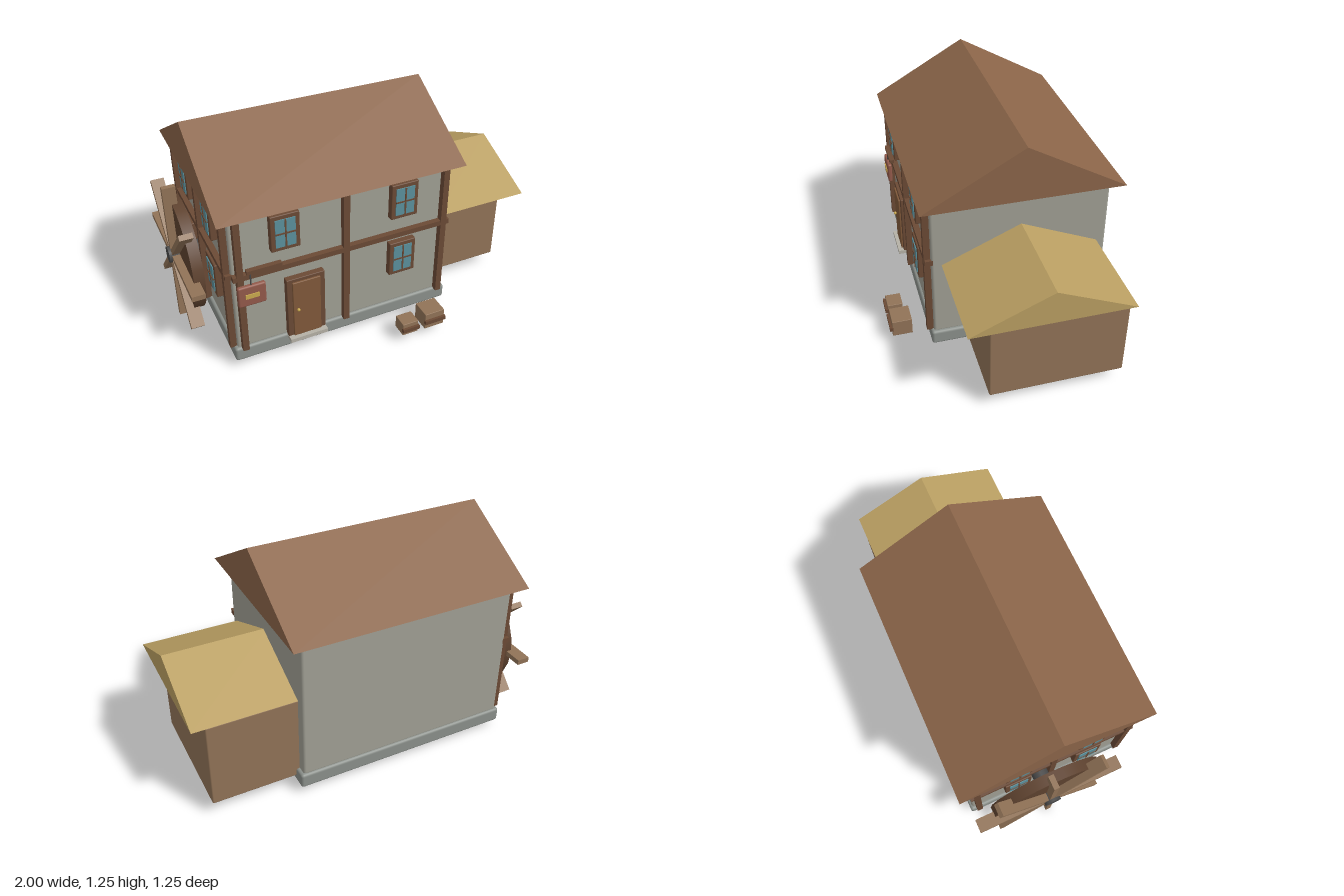
import * as THREE from 'three';
import { RoundedBoxGeometry } from 'three/addons/geometries/RoundedBoxGeometry.js';

const mat = (color) => new THREE.MeshStandardMaterial({ color });
const M = {
  stone: mat(0x8b908b), plaster: mat(0xa09f94), beam: mat(0x6b4a35), roof: mat(0x8b6549),
  plank: mat(0x917357), straw: mat(0xba9f62), glass: mat(0x5b909c), door: mat(0x80593a),
  step: mat(0xb5b1a6), brass: mat(0xc9a84e), sign: mat(0x92594a), iron: mat(0x4a4a4a),
  wheel: mat(0x5f4330),
};

function add(parent, name, geometry, material, x = 0, y = 0, z = 0) {
  const mesh = new THREE.Mesh(geometry, material);
  mesh.name = name;
  mesh.position.set(x, y, z);
  parent.add(mesh);
  return mesh;
}

// Box given by its extents; r > 0 rounds the edges
function box(parent, name, material, [x0, x1], [y0, y1], [z0, z1], r = 0) {
  const s = [x1 - x0, y1 - y0, z1 - z0];
  const g = r ? new RoundedBoxGeometry(...s, 3, r) : new THREE.BoxGeometry(...s);
  return add(parent, name, g, material, (x0 + x1) / 2, (y0 + y1) / 2, (z0 + z1) / 2);
}

// Solid gable roof with its ridge along x
function gableRoof(parent, name, material, [x0, x1], [y0, y1], [z0, z1]) {
  const shape = new THREE.Shape();
  shape.moveTo(-z1, y0);
  shape.lineTo(-z0, y0);
  shape.lineTo(-(z0 + z1) / 2, y1);
  shape.closePath();
  const g = new THREE.ExtrudeGeometry(shape, { depth: x1 - x0, bevelEnabled: false });
  g.rotateY(Math.PI / 2);
  return add(parent, name, g, material, x0, 0, 0);
}

// Framed window facing +z, its back at z = 0
function makeWindow() {
  const w = new THREE.Group();
  w.name = 'window';
  box(w, 'windowFrame', M.beam, [-0.078, 0.078], [-0.105, 0.105], [-0.01, 0.035], 0.005);
  box(w, 'windowGlass', M.glass, [-0.054, 0.054], [-0.081, 0.081], [0, 0.04]);
  box(w, 'windowMullion', M.beam, [-0.004, 0.004], [-0.081, 0.081], [0.03, 0.044]);
  box(w, 'windowCrossbar', M.beam, [-0.054, 0.054], [-0.004, 0.004], [0.03, 0.044]);
  return w;
}

function makeWheel() {
  const wheel = new THREE.Group();
  wheel.name = 'waterWheel';
  const disc = new THREE.CylinderGeometry(0.325, 0.325, 0.06, 24).rotateZ(Math.PI / 2);
  add(wheel, 'wheelDisc', disc, M.wheel, -0.912);
  const axle = new THREE.CylinderGeometry(0.047, 0.047, 0.22, 16).rotateZ(Math.PI / 2);
  add(wheel, 'axle', axle, M.iron, -0.89);
  // Four planks through the hub give eight paddles
  for (let i = 0; i < 4; i++) {
    const p = add(wheel, 'paddle', new THREE.BoxGeometry(0.074, 0.86, 0.03), M.plank, -0.948);
    p.rotation.x = (i * Math.PI) / 4;
  }
  wheel.position.set(0, 0.43, -0.155);
  return wheel;
}

function makeCrate([x0, x1], [y0, y1], [z0, z1]) {
  const crate = new THREE.Group();
  crate.name = 'crate';
  const mid = (y0 + y1) / 2;
  box(crate, 'crateBox', M.plank, [x0, x1], [y0, y1], [z0, z1], 0.003);
  box(crate, 'crateBand', M.beam, [x0 - 0.003, x1 + 0.003], [mid - 0.012, mid + 0.012], [z1 - 0.005, z1 + 0.014]);
  return crate;
}

export function createModel() {
  const model = new THREE.Group();
  model.name = 'waterMill';

  // House body
  box(model, 'foundation', M.stone, [-0.82, 0.455], [0.045, 0.13], [-0.58, 0.41], 0.015);
  box(model, 'walls', M.plaster, [-0.802, 0.437], [0.12, 0.95], [-0.567, 0.395], 0.015);
  gableRoof(model, 'mainRoof', M.roof, [-0.865, 0.502], [0.95, 1.255], [-0.628, 0.454]);

  // Annex
  box(model, 'annex', M.plank, [0.42, 0.925], [0.083, 0.578], [-0.512, 0.215], 0.008);
  gableRoof(model, 'annexRoof', M.straw, [0.42, 0.995], [0.578, 0.765], [-0.515, 0.34]);

  // Timber framing on the front and the wheel side
  for (const x of [-0.765, -0.182, 0.402])
    box(model, 'frontPost', M.beam, [x - 0.017, x + 0.017], [0.125, 0.95], [0.385, 0.43]);
  box(model, 'frontBeam', M.beam, [-0.802, 0.437], [0.585, 0.615], [0.385, 0.427]);
  for (const z of [-0.53, -0.085, 0.36])
    box(model, 'sidePost', M.beam, [-0.836, -0.79], [0.125, 0.95], [z - 0.017, z + 0.017]);
  box(model, 'sideBeam', M.beam, [-0.833, -0.79], [0.585, 0.615], [-0.567, 0.395]);

  // Windows
  for (const [x, y] of [[-0.517, 0.815], [0.152, 0.815], [0.152, 0.447]]) {
    const w = makeWindow();
    w.position.set(x, y, 0.395);
    model.add(w);
  }
  for (const z of [-0.29, 0.13])
    for (const y of [0.815, 0.447]) {
      const w = makeWindow();
      w.position.set(-0.802, y, z);
      w.rotation.y = -Math.PI / 2;
      model.add(w);
    }

  // Door
  box(model, 'doorFrame', M.beam, [-0.525, -0.31], [0.128, 0.507], [0.385, 0.43], 0.004);
  box(model, 'door', M.door, [-0.496, -0.339], [0.13, 0.487], [0.39, 0.44], 0.004);
  add(model, 'doorKnob', new THREE.SphereGeometry(0.009, 12, 8), M.brass, -0.47, 0.31, 0.447);
  box(model, 'doorStep', M.step, [-0.525, -0.31], [0.107, 0.13], [0.38, 0.462]);

  // Hanging sign
  box(model, 'signBracket', M.beam, [-0.735, -0.547], [0.63, 0.65], [0.42, 0.447]);
  add(model, 'signRod', new THREE.CylinderGeometry(0.004, 0.004, 0.08, 8), M.iron, -0.715, 0.595, 0.437);
  box(model, 'signBoard', M.sign, [-0.79, -0.64], [0.435, 0.56], [0.424, 0.45], 0.01);
  box(model, 'signPlate', M.brass, [-0.752, -0.678], [0.486, 0.512], [0.44, 0.455]);

  model.add(makeWheel());
  model.add(makeCrate([0.075, 0.17], [0.05, 0.125], [0.525, 0.612]));
  model.add(makeCrate([0.215, 0.335], [0.045, 0.145], [0.5, 0.612]));
  return model;
}
